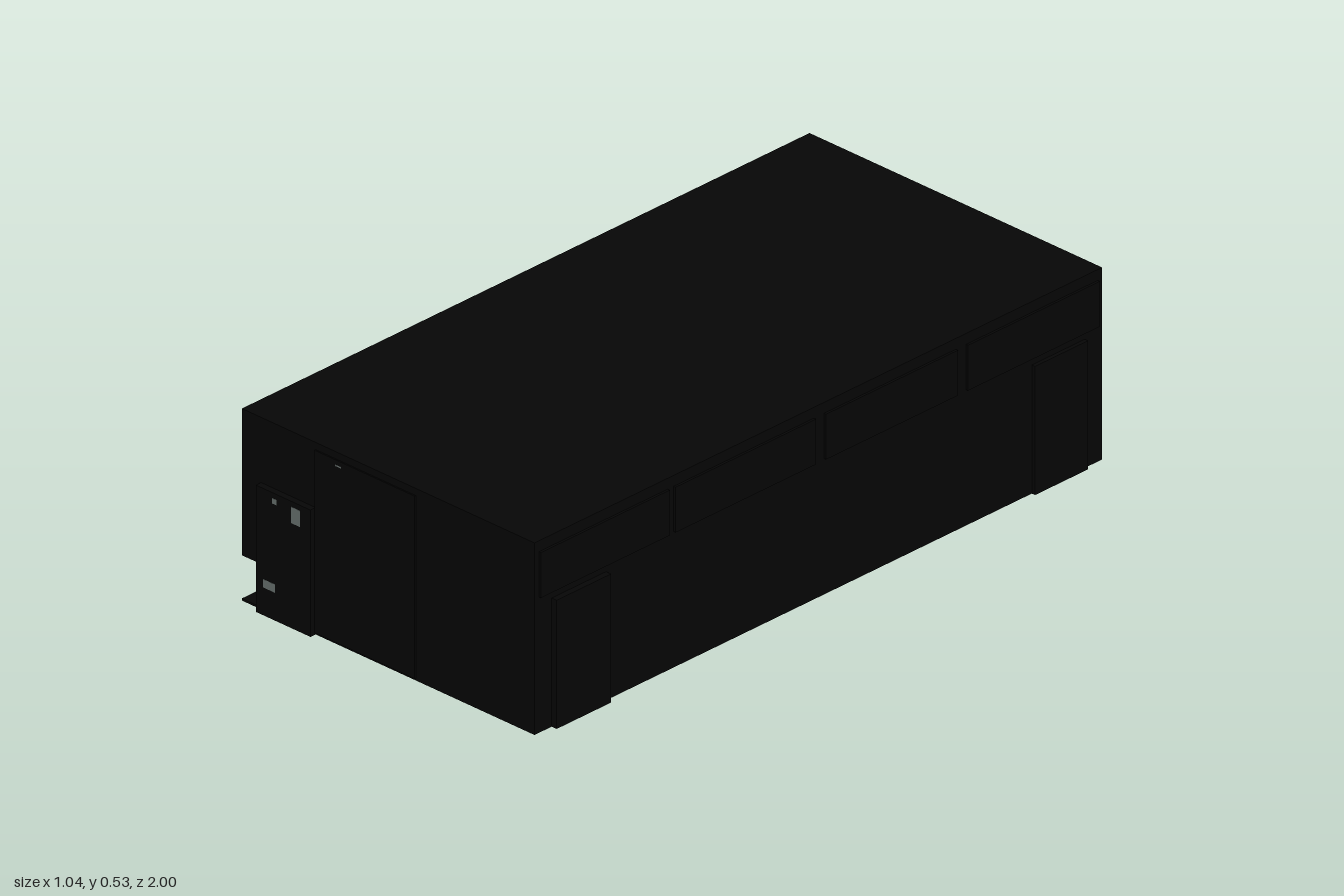
import * as THREE from 'three';

const black = new THREE.MeshStandardMaterial({ color: 0x060606 });
black.name = 'black';
const glass = new THREE.MeshStandardMaterial({ color: 0x737d7a });
glass.name = 'glassGrey';

export function createModel() {
  const root = new THREE.Group();
  root.name = 'longRoom';

  // box given by its minimum and maximum corners
  const box = (name, mat, [x0, y0, z0], [x1, y1, z1], parent = root) => {
    const mesh = new THREE.Mesh(new THREE.BoxGeometry(x1 - x0, y1 - y0, z1 - z0), mat);
    mesh.position.set((x0 + x1) / 2, (y0 + y1) / 2, (z0 + z1) / 2);
    mesh.name = name;
    parent.add(mesh);
  };

  const rect = (Type, a0, b0, a1, b1) => new Type([
    new THREE.Vector2(a0, b0), new THREE.Vector2(a1, b0),
    new THREE.Vector2(a1, b1), new THREE.Vector2(a0, b1),
  ]);

  // slab parallel to the side wall, drawn in (z, y), from x = inner out to -x
  const sideSlab = (name, shape, inner, depth, parent = root) => {
    const geo = new THREE.ExtrudeGeometry(shape, { depth, bevelEnabled: false });
    geo.rotateY(-Math.PI / 2).translate(inner, 0, 0);
    const mesh = new THREE.Mesh(geo, black);
    mesh.name = name;
    parent.add(mesh);
  };

  // shell
  box('floor', black, [-0.49, 0, -1], [0.503, 0.006, 0.98]);
  box('roof', black, [-0.49, 0.51, -1], [0.503, 0.53, 0.98]);
  box('backWall', black, [-0.49, 0, -1], [0.503, 0.53, -0.98]);
  box('leftWall', black, [0.478, 0, -1], [0.503, 0.53, 0.98]);

  // front wall, open at the low corner beside the door
  box('frontWallLower', black, [-0.42, 0, 0.955], [0.503, 0.125, 0.98]);
  box('frontWallUpper', black, [-0.49, 0.125, 0.955], [0.503, 0.53, 0.98]);

  // window wall with four openings, notched at the same corner
  const centres = [-0.755, -0.255, 0.235, 0.735];
  const wall = new THREE.Shape([[-1, 0], [0.86, 0], [0.86, 0.125], [0.98, 0.125], [0.98, 0.53], [-1, 0.53]]
    .map(([z, y]) => new THREE.Vector2(z, y)));
  centres.forEach(c => wall.holes.push(rect(THREE.Path, c - 0.11, 0.15, c + 0.11, 0.48)));
  sideSlab('windowWall', wall, -0.46, 0.03);

  // deep window frames with sash bar and grey panes
  centres.forEach(c => {
    const win = new THREE.Group();
    win.name = 'window';
    root.add(win);
    const frame = rect(THREE.Shape, c - 0.125, 0.125, c + 0.125, 0.5);
    frame.holes.push(rect(THREE.Path, c - 0.1, 0.18, c + 0.1, 0.475));
    sideSlab('windowFrame', frame, -0.45, 0.07, win);
    box('sashBar', black, [-0.475, 0.315, c - 0.1], [-0.45, 0.33, c + 0.1], win);
    box('pane', glass, [-0.462, 0.18, c - 0.1], [-0.456, 0.475, c + 0.1], win);
  });

  // front door with small grey glints
  box('frontDoor', black, [-0.425, 0, 0.955], [-0.24, 0.35, 0.998]);
  box('doorGlint', glass, [-0.305, 0.29, 0.997], [-0.275, 0.335, 0.9985]);
  box('doorGlint', glass, [-0.4, 0.077, 0.997], [-0.36, 0.1, 0.9985]);
  box('doorGlint', glass, [-0.37, 0.32, 0.997], [-0.355, 0.335, 0.9985]);
  box('frontPanel', black, [-0.24, 0.006, 0.975], [0.1, 0.51, 0.984]);
  box('frontGlint', glass, [-0.17, 0.493, 0.983], [-0.15, 0.497, 0.9845]);

  // doors on the opposite long side
  box('sideDoorFront', black, [0.48, 0, 0.73], [0.52, 0.355, 0.92]);
  box('sideDoorBack', black, [0.48, 0, -0.94], [0.514, 0.355, -0.755]);

  // high panels above the side doors
  [[-0.985, -0.525], [-0.49, -0.03], [0.005, 0.495], [0.515, 0.965]].forEach(([z0, z1]) =>
    box('highPanel', black, [0.49, 0.375, z0], [0.51, 0.5, z1]));

  return root;
}
